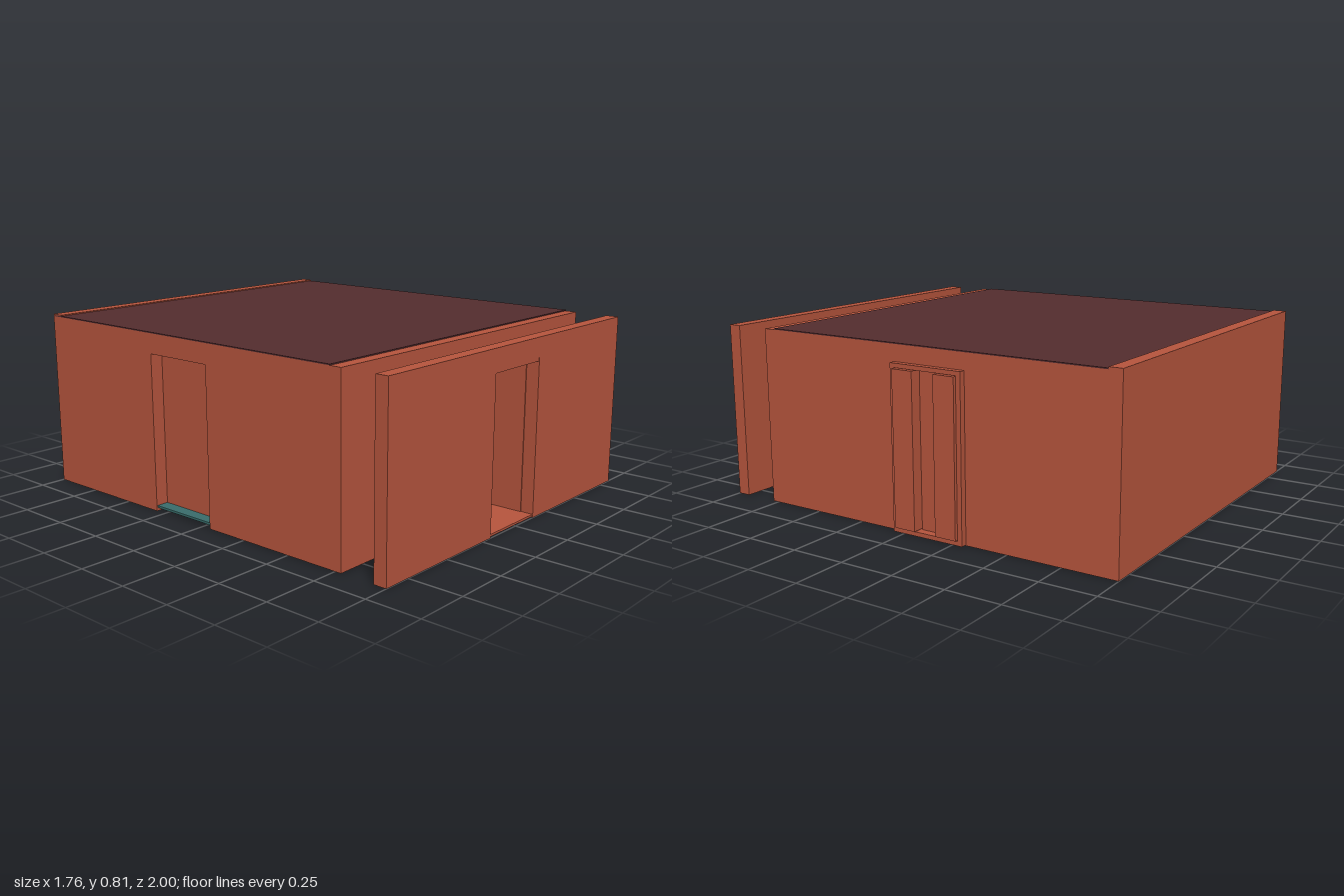
import * as THREE from 'three';

const mat = (color) => new THREE.MeshStandardMaterial({ color, side: THREE.DoubleSide });
const RED = mat(0xb8563e), ROOF = mat(0x552d2f), TEAL = mat(0x3a6e6c);
const DOOR = mat(0x846e5a), METAL = mat(0x5a4c40), BROWN = mat(0x4a4234), STONE = mat(0x8a7a68);

// Overall plan of the room
const X0 = -0.88, X1 = 0.835, Z0 = -1, Z1 = 0.78, H = 0.8, T = 0.06;

export function createModel() {
  const model = new THREE.Group();

  const add = (name, geometry, material) => {
    const mesh = new THREE.Mesh(geometry, material);
    mesh.name = name;
    model.add(mesh);
    return mesh;
  };

  // Box given by its limits on each axis
  const box = (name, material, [xa, xb], [ya, yb], [za, zb]) => {
    const mesh = add(name, new THREE.BoxGeometry(xb - xa, yb - ya, zb - za), material);
    mesh.position.set((xa + xb) / 2, (ya + yb) / 2, (za + zb) / 2);
    return mesh;
  };

  // Wall with a doorway cut up from the ground, thickness along +z
  const doorwayWall = (a, b, da, db, doorHeight) => {
    const shape = new THREE.Shape([
      [a, 0], [da, 0], [da, doorHeight], [db, doorHeight],
      [db, 0], [b, 0], [b, H], [a, H],
    ].map(([x, y]) => new THREE.Vector2(x, y)));
    return new THREE.ExtrudeGeometry(shape, { depth: T, bevelEnabled: false });
  };

  // Front walls: the outer screen wall and the room wall behind it
  const DX0 = -0.19, DX1 = 0.14, DH = 0.713;
  add('outerFrontWall', doorwayWall(X0, X1, DX0, DX1, DH), RED).position.z = 0.94;
  add('frontWall', doorwayWall(X0, X1, DX0, DX1, DH), RED).position.z = Z1 - T;

  // Back wall stands slightly proud of the roof
  box('backWall', RED, [X0, X1], [0, 0.81], [Z0, Z0 + T]);

  // Side walls, each with a doorway; turned so that shape x runs along -z
  const SZ0 = -0.3, SZ1 = 0.045;
  for (const [name, x] of [['rightWall', X0], ['leftWall', X1 - T]]) {
    const wall = add(name, doorwayWall(-Z1 + T, -Z0 - T, -SZ1, -SZ0, 0.71), RED);
    wall.rotation.y = Math.PI / 2;
    wall.position.x = x;
  }

  // Roof and floor
  box('roof', ROOF, [X0, X1], [H, H + 0.005], [Z0 + 0.008, 0.725]);
  box('floor', TEAL, [X0 + T, X1 - T], [0.015, 0.025], [Z0 + T, Z1 - T]);
  box('rightThreshold', TEAL, [X0 + 0.004, X0 + T], [0.015, 0.025], [SZ0, SZ1]);

  // Entrance passage joining the two front walls
  const passageZ = [Z1 - T, 0.94];
  box('passageFloor', RED, [DX0, DX1], [0.005, 0.015], [Z1 - T, 0.998]);
  box('passageCeiling', RED, [DX0, DX1], [0.696, 0.714], [Z1 - T, 0.998]);
  box('passageSide', RED, [DX0, DX0 + 0.004], [0.01, 0.71], passageZ);
  box('passageSide', RED, [DX1 - 0.004, DX1], [0.01, 0.71], passageZ);

  // Front door with round knob
  box('frontDoor', DOOR, [DX0, DX1], [0.016, 0.697], [0.722, 0.74]);
  add('doorKnob', new THREE.SphereGeometry(0.013, 20, 12), METAL).position.set(-0.14, 0.353, 0.755);
  const stem = add('knobStem', new THREE.CylinderGeometry(0.006, 0.006, 0.02, 12), METAL);
  stem.rotation.x = Math.PI / 2;
  stem.position.set(-0.14, 0.353, 0.745);

  // Recessed door in the right wall
  box('rightDoor', RED, [X0 + T, X0 + T + 0.015], [0.025, 0.71], [SZ0, SZ1]);

  // Left side doors: projecting frame, two outer leaves, recessed middle leaf
  const frameX = [X1 - T, 0.863];
  box('sideFrameTop', RED, frameX, [0.708, 0.727], [-0.302, 0.05]);
  box('sideFrameSill', RED, frameX, [0.003, 0.022], [-0.302, 0.05]);
  for (const z of [[-0.302, -0.28], [0.03, 0.05]]) {
    box('sideFramePost', RED, frameX, [0.022, 0.708], z);
  }
  for (const z of [[-0.28, -0.178], [-0.072, 0.03]]) {
    box('sideDoorLeaf', RED, [X1 - 0.01, 0.878], [0.027, 0.706], z);
  }
  box('sideDoorMiddle', RED, [X1 - 0.03, X1 - 0.01], [0.022, 0.708], [-0.178, -0.072]);

  // Round rug let into the floor
  const rug = add('rug', new THREE.CylinderGeometry(0.35, 0.35, 0.014, 48), BROWN);
  rug.position.set(-0.23, 0.021, 0.16);

  // Desk against the back wall, with two slab legs
  box('deskTop', BROWN, [-0.41, 0.41], [0.27, 0.29], [-0.94, -0.72]);
  for (const x of [-0.37, 0.37]) {
    box('deskLeg', BROWN, [x - 0.03, x + 0.03], [0.014, 0.27], [-0.94, -0.9]);
  }

  // Low cabinet, plant pot and side bench
  box('cabinet', STONE, [-0.8, -0.48], [0.014, 0.3], [-0.93, -0.83]);
  const pot = add('plantPot', new THREE.CylinderGeometry(0.07, 0.06, 0.12, 24), STONE);
  pot.position.set(0.57, 0.074, -0.84);
  box('bench', BROWN, [0.67, 0.77], [0.014, 0.16], [0.2, 0.42]);

  return model;
}
